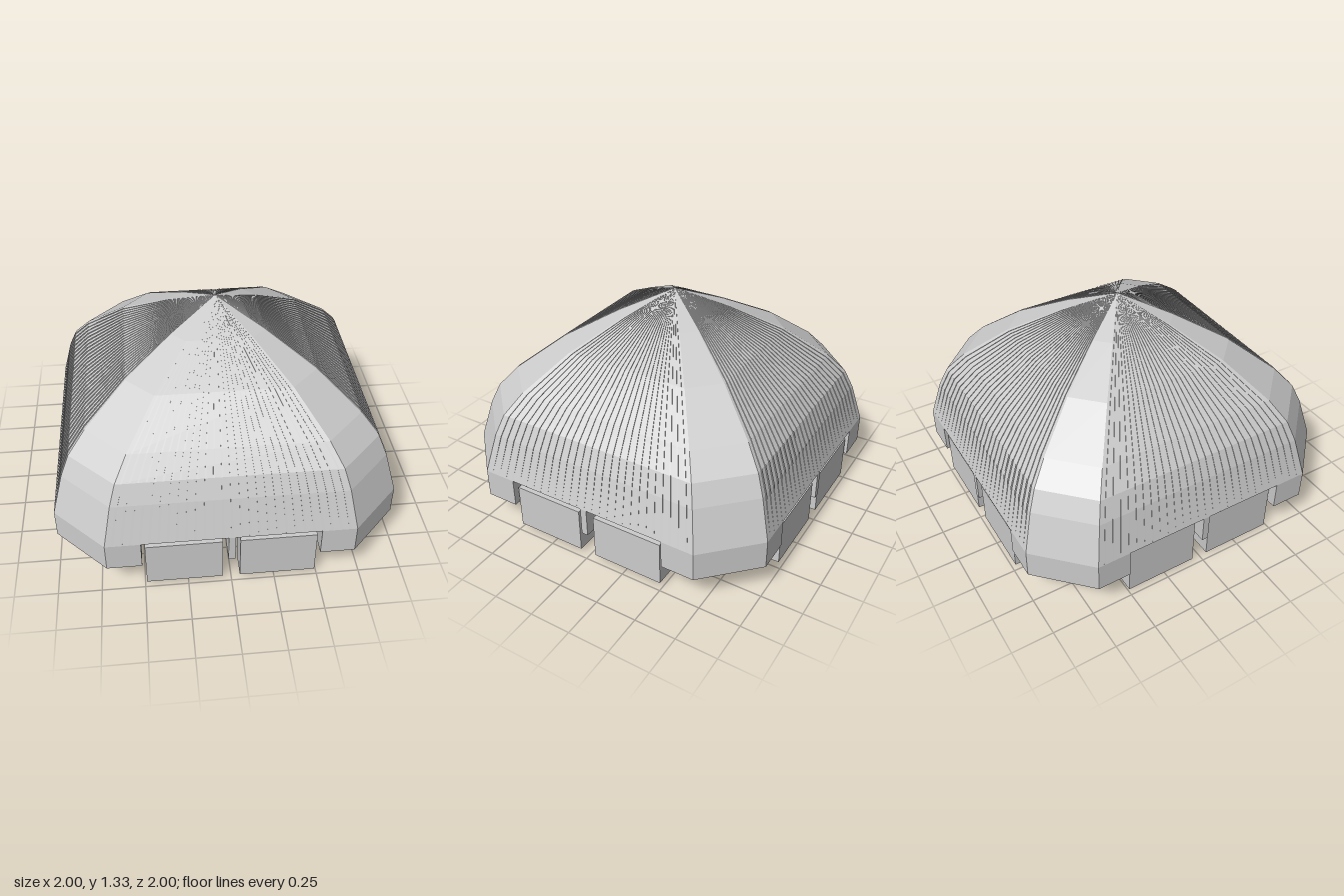
import * as THREE from 'three';
import { ConvexGeometry } from 'three/addons/geometries/ConvexGeometry.js';

const CHAMFER = 0.71;
// [half width, height] of each dome ring
const PROFILE = [[1, 0.36], [0.935, 0.6], [0.885, 0.72], [0.785, 0.84], [0.545, 1.04], [0.27, 1.2], [0, 1.33]];
// chamfered square, counterclockwise seen from above (x, z)
const OCTAGON = [[1, CHAMFER], [1, -CHAMFER], [CHAMFER, -1], [-CHAMFER, -1], [-1, -CHAMFER], [-1, CHAMFER], [-CHAMFER, 1], [CHAMFER, 1]];

function quad(out, a, b, c, d) {
  out.push(...a, ...b, ...c, ...a, ...c, ...d);
}

function facetGeometry(positions) {
  const g = new THREE.BufferGeometry();
  g.setAttribute('position', new THREE.Float32BufferAttribute(positions, 3));
  g.computeVertexNormals();
  return g;
}

// Faceted eight-sided dome with a closed underside
function domeGeometry() {
  const out = [];
  const at = (i, [r, y]) => [OCTAGON[i % 8][0] * r, y, OCTAGON[i % 8][1] * r];
  for (let i = 0; i < 8; i++) {
    for (let k = 0; k < PROFILE.length - 2; k++) {
      quad(out, at(i, PROFILE[k]), at(i + 1, PROFILE[k]), at(i + 1, PROFILE[k + 1]), at(i, PROFILE[k + 1]));
    }
    const last = PROFILE[PROFILE.length - 2];
    out.push(...at(i, last), ...at(i + 1, last), 0, 1.33, 0);
    out.push(...at(i + 1, PROFILE[0]), ...at(i, PROFILE[0]), 0, 0.36, 0);
  }
  return facetGeometry(out);
}

// Thin raised ribs on the front face, converging on the apex
function ribGeometry() {
  const out = [], count = 27, halfWidth = 0.006, lift = 0.005;
  for (let n = 0; n < count; n++) {
    const x = (n - (count - 1) / 2) * 0.0515;
    for (let k = 0; k < PROFILE.length - 1; k++) {
      const p = (ring, dx, up) => [(x + dx) * ring[0], ring[1] + up * 0.5, ring[0] + up * 0.6];
      const a = PROFILE[k], b = PROFILE[k + 1];
      const la = k === 0 ? 0 : lift, lb = k === PROFILE.length - 2 ? 0 : lift;
      const L = -halfWidth, R = halfWidth;
      quad(out, p(a, L, la), p(a, R, la), p(b, R, lb), p(b, L, lb));
      quad(out, p(a, L, 0), p(a, L, la), p(b, L, lb), p(b, L, 0));
      quad(out, p(a, R, la), p(a, R, 0), p(b, R, 0), p(b, R, lb));
    }
  }
  return facetGeometry(out);
}

function squareHole(cx, cy, h) {
  return new THREE.Path([[-h, -h], [-h, h], [h, h], [h, -h]].map(([x, y]) => new THREE.Vector2(cx + x, cy + y)));
}

// Base slab: octagon with two notched bays per long side and square pits
function baseGeometry(y0, y1, withCentre) {
  const side = [[-CHAMFER, 1], [-0.51, 1], [-0.51, 0.83], [-0.02, 0.83], [-0.02, 1],
    [0.02, 1], [0.02, 0.83], [0.51, 0.83], [0.51, 1], [CHAMFER, 1]];
  const pts = [];
  for (let s = 0; s < 4; s++) {
    for (const [x, y] of side) {
      pts.push(new THREE.Vector2(x, y).rotateAround(new THREE.Vector2(), -s * Math.PI / 2));
    }
  }
  const shape = new THREE.Shape(pts);
  for (const sx of [-1, 1]) for (const sy of [-1, 1]) shape.holes.push(squareHole(sx * 0.325, sy * 0.325, 0.088));
  if (withCentre) shape.holes.push(squareHole(0, 0, 0.23));
  const g = new THREE.ExtrudeGeometry(shape, { depth: y1 - y0, bevelEnabled: false });
  g.rotateX(-Math.PI / 2);
  g.translate(0, y0, 0);
  return g;
}

export function createModel() {
  const group = new THREE.Group();
  const material = new THREE.MeshStandardMaterial({ color: 0xcccccc, flatShading: true });
  const ribMaterial = new THREE.MeshStandardMaterial({ color: 0xcccccc, flatShading: true, side: THREE.DoubleSide });
  const add = (name, geometry, parent = group, mat = material) => {
    const mesh = new THREE.Mesh(geometry, mat);
    mesh.name = name;
    parent.add(mesh);
    return mesh;
  };

  add('domeShell', domeGeometry());
  add('lowerBase', baseGeometry(0.185, 0.25, true));
  add('upperBase', baseGeometry(0.25, 0.36, false));

  // Ribbed roof panel and a pair of hanging boxes on each long side
  const ribs = ribGeometry();
  const sides = [['front', 0.02, 0.98], ['left', 0.035, 0.98], ['back', 0.035, 0.985], ['right', 0, 0.96]];
  sides.forEach(([name, bottom, outer], s) => {
    const side = new THREE.Group();
    side.name = name + 'Side';
    side.rotation.y = s * Math.PI / 2;
    group.add(side);
    add('roofRibs', ribs, side, ribMaterial);
    for (const sx of [-1, 1]) {
      const box = add('hangingBox', new THREE.BoxGeometry(0.44, 0.31 - bottom, outer - 0.83), side);
      box.position.set(sx * 0.27, (0.31 + bottom) / 2, (outer + 0.83) / 2);
    }
  });

  // Pointed brackets beside every chamfered corner
  for (const sx of [-1, 1]) for (const sz of [-1, 1]) for (const swap of [false, true]) {
    const corners = [[0.6, 0.07, 0.835], [0.6, 0.19, 0.835], [0.71, 0.19, 0.835], [0.6, 0.19, 0.98]];
    add('cornerBracket', new ConvexGeometry(corners.map(([a, y, b]) =>
      new THREE.Vector3(sx * (swap ? b : a), y, sz * (swap ? a : b)))));
  }
  return group;
}
